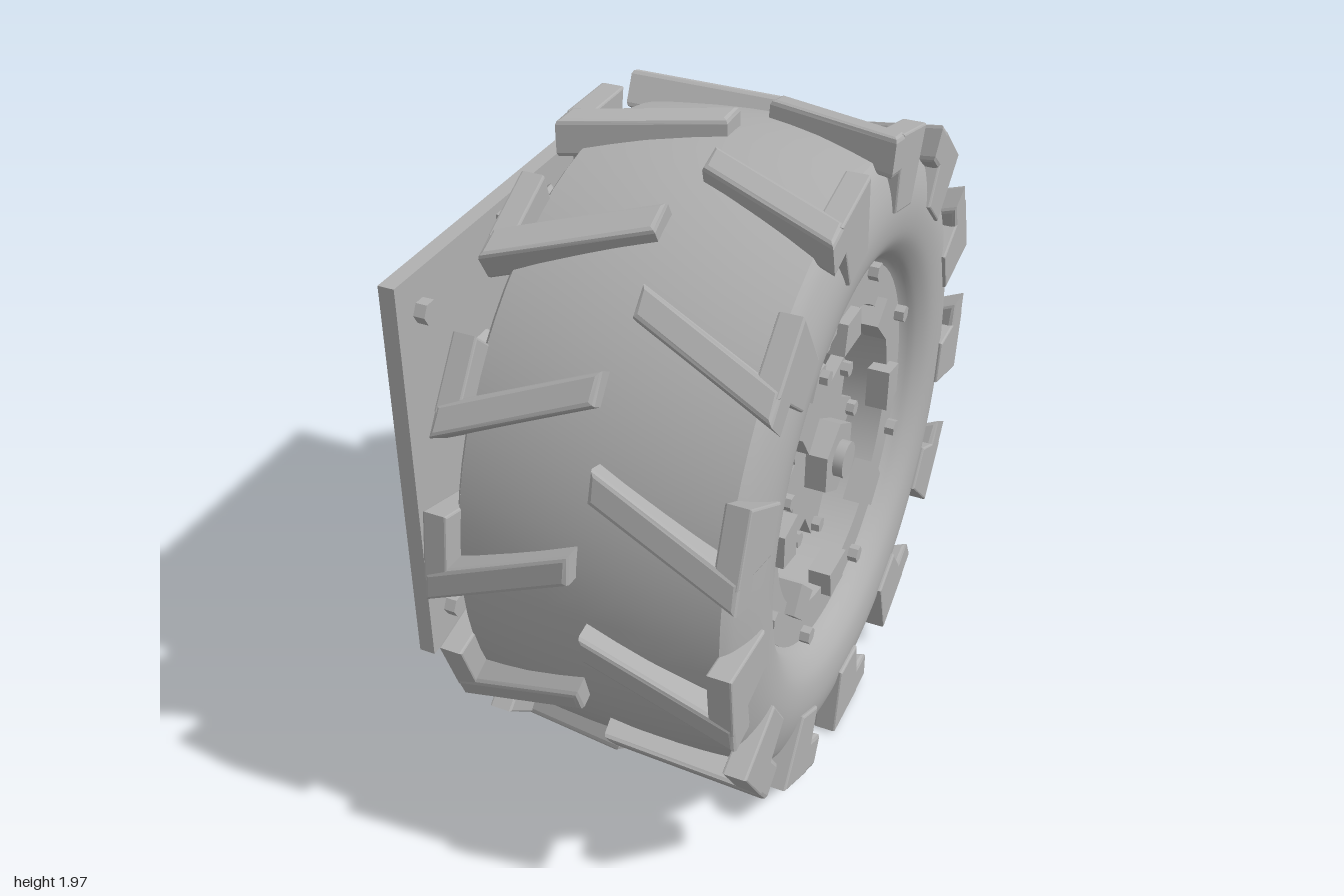
import * as THREE from 'three';
import { toCreasedNormals } from 'three/addons/utils/BufferGeometryUtils.js';

const CX = 0.145;          // middle of the tyre along the axle
const LUGS = 13;
const DEG = Math.PI / 180;

export function createModel() {
  const model = new THREE.Group();
  model.name = 'tractorWheelUnit';
  const grey = new THREE.MeshStandardMaterial({ color: 0xb0b0b0 });
  grey.name = 'plainGrey';

  const add = (name, geo, parent = model) => {
    const m = new THREE.Mesh(geo, grey);
    m.name = name;
    parent.add(m);
    return m;
  };
  // Profile of [radius, x] spun about the x axis
  const lathe = (pts, crease) => {
    let g = new THREE.LatheGeometry(pts.map(p => new THREE.Vector2(...p)), 72);
    g.rotateZ(-Math.PI / 2);
    return crease ? toCreasedNormals(g, crease) : g;
  };
  // Cylinder along x
  const xCyl = (r, x0, x1, sides) => {
    const g = new THREE.CylinderGeometry(r, r, x1 - x0, sides);
    g.rotateZ(-Math.PI / 2).translate((x0 + x1) / 2, 0, 0);
    return toCreasedNormals(g, 0.6);
  };
  // Cylinder between two points
  const rod = (a, b, r) => {
    const d = b.clone().sub(a);
    const g = new THREE.CylinderGeometry(r, r, d.length(), 24);
    g.applyQuaternion(new THREE.Quaternion().setFromUnitVectors(
      new THREE.Vector3(0, 1, 0), d.clone().normalize()));
    return g.translate((a.x + b.x) / 2, (a.y + b.y) / 2, (a.z + b.z) / 2);
  };
  const box = (w, h, d, x, y, z) => new THREE.BoxGeometry(w, h, d).translate(x, y, z);
  const extrude = (pts, depth, bevel = 0) => {
    const shape = new THREE.Shape(pts.map(p => new THREE.Vector2(...p)));
    return new THREE.ExtrudeGeometry(shape, {
      depth: depth - 2 * bevel, bevelEnabled: bevel > 0, bevelSize: bevel,
      bevelThickness: bevel, bevelOffset: -bevel, bevelSegments: 2,
    }).translate(0, 0, bevel);
  };
  // Turn an extrusion drawn in (tangent, radius) so that its depth runs along x
  const toAxle = new THREE.Matrix4().makeBasis(
    new THREE.Vector3(0, 1, 0), new THREE.Vector3(0, 0, 1), new THREE.Vector3(1, 0, 0));

  const wheel = new THREE.Group();
  wheel.name = 'wheel';
  wheel.position.y = 1;
  model.add(wheel);
  // Part placed at an angle from the front (+z) towards the top (+y)
  const around = (name, geo, angle) => { add(name, geo, wheel).rotation.x = -angle; };

  // Tyre: crowned tread band and two bulging sidewalls
  const band = [-0.37, -0.3, -0.2, -0.1, 0, 0.1, 0.2, 0.3, 0.37]
    .map(h => [0.932 - 0.2 * h * h, CX + h]);
  add('treadBand', lathe(band), wheel);
  const wall = new THREE.SplineCurve([
    [0.905, 0.37], [0.87, 0.393], [0.80, 0.417], [0.73, 0.425],
    [0.66, 0.415], [0.61, 0.385], [0.575, 0.345], [0.5, 0.30],
  ].map(p => new THREE.Vector2(...p))).getPoints(28);
  add('leftSidewall', lathe(wall.map(p => [p.x, CX + p.y])), wheel);
  add('rightSidewall', lathe(wall.map(p => [p.x, CX - p.y]).reverse()), wheel);

  // Tread: slanted bars with a shoulder lug at each outer end, staggered per side
  for (const s of [1, -1]) {
    const bar = extrude([[0.015, 0.045], [0.435, -0.135], [0.435, -0.045], [0.015, 0.135]]
      .map(([h, t]) => [CX + s * h, t]), 0.11, 0.014).translate(0, 0, 0.87);
    const lug = extrude([[-0.07, 0.755], [0.07, 0.755], [0.104, 0.975], [-0.104, 0.975]], 0.07, 0.006)
      .applyMatrix4(toAxle).translate(s > 0 ? 0.51 : -0.29, 0, 0);
    for (let i = 0; i < LUGS; i++) {
      const a = -Math.PI / 2 + (i + (s > 0 ? 0 : 0.5)) * 2 * Math.PI / LUGS;
      around('treadBar', bar, a - 2.2 * DEG);
      around('shoulderLug', lug, a);
    }
  }

  // Rim with recessed disc and conical hub, open at the back
  add('rim', lathe([[0, 0.22], [0.43, 0.22], [0.45, -0.2], [0.57, -0.2], [0.57, 0.49],
    [0.45, 0.49], [0.435, 0.28], [0.29, 0.28], [0.25, 0.40], [0, 0.40]], 0.5), wheel);

  // Rim clamps, flange bolts and hub bolts
  const clamp = extrude([[-0.068, 0.385], [0.068, 0.385], [0.052, 0.478], [-0.052, 0.478]], 0.07)
    .applyMatrix4(toAxle).translate(0.45, 0, 0);
  const flangeBolt = xCyl(0.027, 0.48, 0.52, 6).translate(0, 0, 0.55);
  const hubBolt = xCyl(0.024, 0.42, 0.46, 6).translate(0, 0, 0.26);
  for (let i = 0; i < 8; i++) {
    const a = i * Math.PI / 4;
    around('rimClamp', clamp, a);
    around('flangeBolt', flangeBolt, a + Math.PI / 8);
    around('hubBolt', hubBolt, a);
  }

  // Star-shaped hub cover with blunt tips, hex nut and axle end
  const star = [];
  for (let i = 0; i < 8; i++) {
    for (const [r, da] of [[0.287, -4], [0.287, 4], [0.205, 22.5]]) {
      const a = (i * 45 + da) * DEG;
      star.push([r * Math.cos(a), r * Math.sin(a)]);
    }
  }
  add('hubStar', extrude(star, 0.04).applyMatrix4(toAxle).translate(0.395, 0, 0), wheel);
  add('hubNut', xCyl(0.117, 0.43, 0.50, 6).rotateX(Math.PI / 2), wheel);
  add('axleEnd', xCyl(0.055, 0.49, 0.53, 24), wheel);

  // Axle and pivot behind the wheel disc
  add('axle', xCyl(0.13, -0.15, 0.23, 32), wheel);
  add('pivotPin', rod(new THREE.Vector3(-0.13, 0, -0.29), new THREE.Vector3(-0.13, 0, 0.29), 0.085), wheel);

  // Mounting plate with four bolts on its wheel side
  add('mountingPlate', box(0.05, 1.27, 1.26, -0.56, 1.005, 0));
  for (const y of [0.49, 1.52]) {
    for (const z of [-0.52, 0.52]) {
      add('plateBolt', xCyl(0.036, -0.54, -0.50, 6).translate(0, y, z));
    }
  }

  // Tapered bracket arms and paired dampers
  const arm = [[-0.54, 0.725], [-0.28, 0.80], [-0.03, 0.87], [-0.03, 1.13], [-0.28, 1.20], [-0.54, 1.285]];
  const top = [-0.505, 1.597], mid = [-0.335, 1.385], low = [-0.12, 1.11];
  for (const s of [1, -1]) {
    add('bracketArm', extrude(arm, 0.07, 0.01).translate(0, 0, s * 0.225 - 0.035));
    const v = p => new THREE.Vector3(p[0], p[1], s * 0.08);
    add('damperBody', rod(v(top), v(mid), 0.055));
    add('damperRod', rod(v(mid), v(low), 0.035));
  }
  add('damperLink', box(0.07, 0.07, 0.12, -0.445, 1.51, 0));
  add('damperMount', box(0.05, 0.08, 0.2, -0.52, 1.57, 0));
  add('damperFoot', box(0.12, 0.14, 0.4, -0.12, 1.08, 0));

  return model;
}
